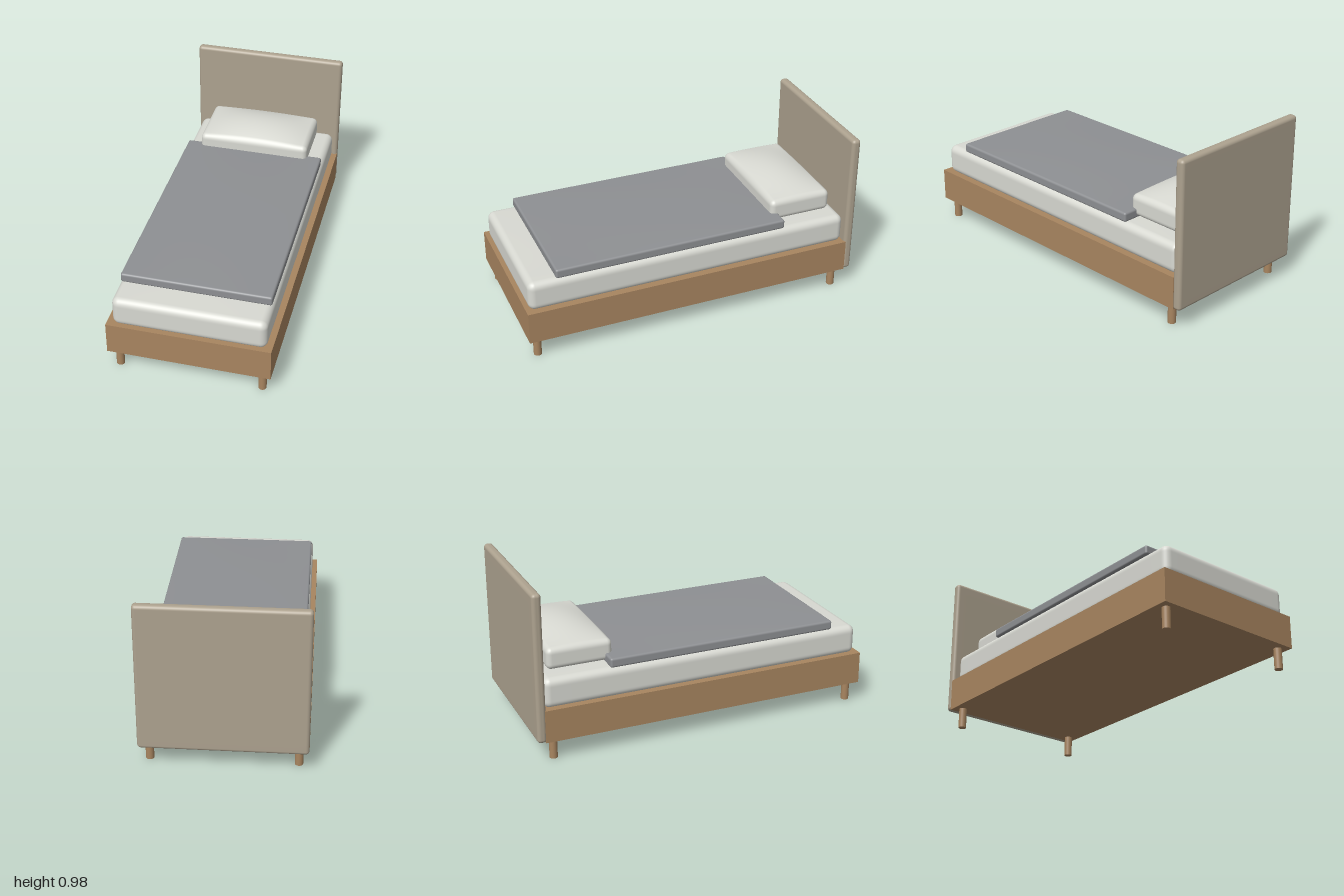
import * as THREE from 'three';
import { mergeVertices } from 'three/addons/utils/BufferGeometryUtils.js';

const mat = (name, color) => {
  const m = new THREE.MeshStandardMaterial({ color });
  m.name = name;
  return m;
};

// Smooth rounded block between two corners, its top swelling by `dome` in the middle
function softBlock(min, max, r, dome = 0) {
  const N = 24, K = 4; // segments per side, segments spent on each rounded edge
  const half = min.map((v, i) => (max[i] - v) / 2);
  const mid = min.map((v, i) => (max[i] + v) / 2);
  const geo = new THREE.BoxGeometry(2, 2, 2, N, N, N);
  geo.deleteAttribute('uv');
  geo.deleteAttribute('normal');
  const pos = geo.attributes.position;
  const inner = new THREE.Vector3(), off = new THREE.Vector3();
  for (let i = 0; i < pos.count; i++) {
    for (let a = 0; a < 3; a++) {
      const t = pos.getComponent(i, a), s = Math.sign(t);
      const steps = (1 - Math.abs(t)) * N / 2; // steps in from the edge
      const flat = half[a] - r;
      const outer = steps < K - 1e-6;
      inner.setComponent(a, outer ? s * flat : s * flat * (N / 2 - steps) / (N / 2 - K));
      off.setComponent(a, outer ? s * Math.tan((1 - steps / K) * Math.PI / 4) : 0);
    }
    off.setLength(r);
    const p = inner.add(off);
    const u = p.x / half[0], w = p.z / half[2];
    if (p.y > 0) p.y += dome * (1 - u * u) * (1 - w * w) * (p.y / half[1]);
    pos.setXYZ(i, p.x + mid[0], p.y + mid[1], p.z + mid[2]);
  }
  const merged = mergeVertices(geo, 1e-5);
  merged.computeVertexNormals();
  return merged;
}

export function createModel() {
  const bed = new THREE.Group();
  bed.name = 'bed';
  const wood = mat('wood', 0xa88560);
  const linen = mat('headboard fabric', 0xada28f);
  const white = mat('white bedding', 0xd8d9d2);
  const grey = mat('grey blanket', 0x8e9093);

  const add = (name, geo, material) => {
    const mesh = new THREE.Mesh(geo, material);
    mesh.name = name;
    bed.add(mesh);
    return mesh;
  };

  // Solid wooden base
  add('frame', new THREE.BoxGeometry(0.92, 0.19, 1.955), wood).position.set(0, 0.215, 0.0225);

  // Four round legs
  for (const x of [-0.405, 0.405]) {
    for (const z of [-0.9, 0.945]) {
      add('leg', new THREE.CylinderGeometry(0.023, 0.023, 0.125, 24), wood).position.set(x, 0.0625, z);
    }
  }

  // Upholstered headboard
  add('headboard', softBlock([-0.46, 0.12, -1], [0.46, 0.98, -0.947], 0.02), linen);

  // Bedding
  add('mattress', softBlock([-0.43, 0.3, -0.945], [0.43, 0.475, 0.98], 0.04, 0.01), white);
  add('blanket', softBlock([-0.422, 0.475, -0.56], [0.422, 0.53, 0.82], 0.012, 0.009), grey);
  add('pillow', softBlock([-0.335, 0.483, -0.893], [0.335, 0.607, -0.515], 0.03, 0.045), white);

  return bed;
}
